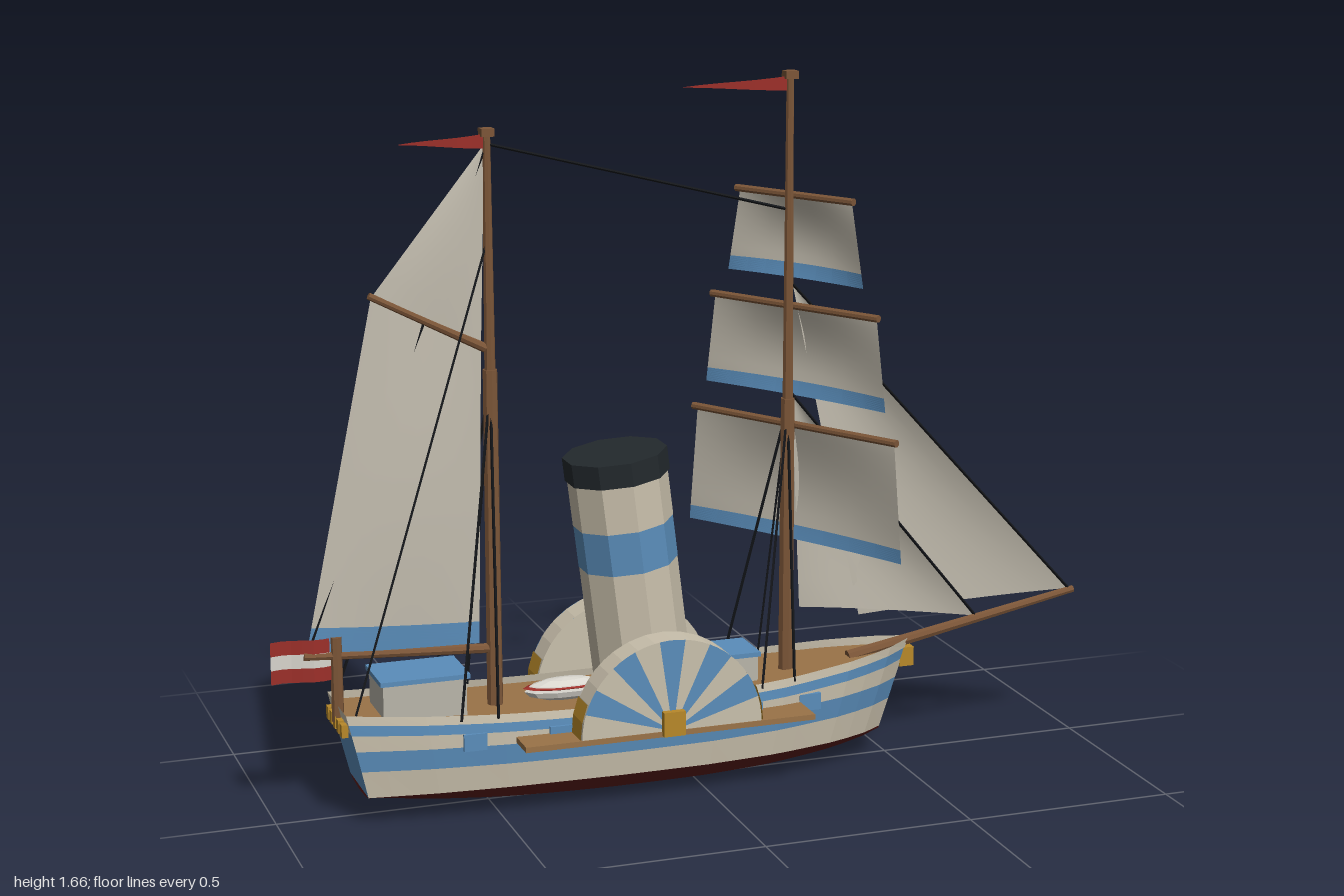
import * as THREE from 'three';

const C = { cream: 0xc9c0ac, blue: 0x5a8dba, deck: 0x9a7348, wood: 0x7c5638, red: 0x5c1c1a, flag: 0x9c302a,
  gold: 0xb8892a, black: 0x23292d, rope: 0x14161a, sail: 0xc2bcae, white: 0xd8d5cd, house: 0xb9b5aa };
const mats = {};
const mat = (key) => mats[key] ??= new THREE.MeshStandardMaterial({ color: C[key], side: THREE.DoubleSide, flatShading: key !== 'sail' });
const V = (x, y, z = 0) => new THREE.Vector3(x, y, z);

export function createModel() {
  const model = new THREE.Group();
  const add = (name, geo, key, parent = model) => {
    const m = new THREE.Mesh(geo, mat(key));
    m.name = name;
    parent.add(m);
    return m;
  };
  const box = (name, key, x0, x1, y0, y1, z0, z1, parent) =>
    add(name, new THREE.BoxGeometry(x1 - x0, y1 - y0, z1 - z0), key, parent)
      .position.set((x0 + x1) / 2, (y0 + y1) / 2, (z0 + z1) / 2);
  // round bar between two points
  const bar = (name, key, a, b, r0, r1 = r0, sides = 8) => {
    const m = add(name, new THREE.CylinderGeometry(r1, r0, a.distanceTo(b), sides), key);
    m.position.copy(a).lerp(b, 0.5);
    m.quaternion.setFromUnitVectors(V(0, 1), b.clone().sub(a).normalize());
  };
  const rope = (a, b) => bar('rigging', 'rope', a, b, 0.0035, 0.0035, 4);
  // surface from f(u, v)
  const sheet = (name, key, nu, nv, f) => {
    const pos = [], idx = [];
    for (let j = 0; j <= nv; j++) for (let i = 0; i <= nu; i++) pos.push(...f(i / nu, j / nv).toArray());
    for (let j = 0; j < nv; j++) for (let i = 0; i < nu; i++) {
      const a = j * (nu + 1) + i, b = a + nu + 1;
      idx.push(a, a + 1, b, a + 1, b + 1, b);
    }
    const g = new THREE.BufferGeometry();
    g.setAttribute('position', new THREE.Float32BufferAttribute(pos, 3));
    g.setIndex(idx);
    g.computeVertexNormals();
    return add(name, g, key);
  };
  // sail spanning four corners (bottom a-b, top c-d) with a belly
  const sail = (name, key, a, b, c, d, belly, v0 = 0, v1 = 1) => sheet(name, key, 8, 8, (u, v) => {
    const w = v0 + (v1 - v0) * v;
    const p = a.clone().lerp(b, u).lerp(c.clone().lerp(d, u), w);
    return p.addScaledVector(belly, 4 * u * (1 - u) * Math.sin(Math.PI * (0.15 + 0.85 * w)));
  });

  // ---- hull: plan width, then levels of [height, width factor, sheer factor]
  const plan = [[0, 0.098], [0.12, 0.122], [0.26, 0.138], [0.46, 0.147], [0.62, 0.146], [0.76, 0.13], [0.88, 0.094], [0.95, 0.058], [1, 0.012]];
  const width = (t) => {
    let i = 1;
    while (i < plan.length - 1 && t > plan[i][0]) i++;
    const [t0, w0] = plan[i - 1], [t1, w1] = plan[i];
    return w0 + (w1 - w0) * (t - t0) / (t1 - t0);
  };
  const levels = [[0, 0, 0], [0.03, 0.66, 0], [0.07, 0.92, 0], [0.128, 0.97, 0.25], [0.175, 1, 0.35], [0.203, 1, 0.75], [0.224, 0.985, 0.9], [0.243, 0.96, 1]];
  const hullPoint = (t, [y, w, sheer], side) => {
    const s = 2 * t - 1, k = (t - 0.45) / 0.55;
    const yy = y < 0.07 ? y + (0.06 - 0.86 * y) * Math.pow(Math.abs(s), 2.6) : y + 0.042 * k * k * sheer;
    const f = Math.max(0, (yy - 0.07) / 0.21);
    return V(THREE.MathUtils.lerp(-0.805 - 0.05 * f, 0.48 + 0.07 * f, t), yy, side * width(t) * w);
  };
  const strakes = ['red', 'red', 'cream', 'blue', 'cream', 'blue', 'cream'];
  const stern = ['red', 'red', 'blue', 'blue', 'blue', 'cream', 'cream'];
  strakes.forEach((key, i) => {
    const span = (t, v, side) => hullPoint(t, levels[i], side).lerp(hullPoint(t, levels[i + 1], side), v);
    for (const side of [-1, 1]) sheet('hullStrake', key, 24, 1, (u, v) => span(u, v, side));
    sheet('transom', stern[i], 1, 1, (u, v) => span(0, v, 2 * u - 1));
    sheet('stem', key, 1, 1, (u, v) => span(1, v, 2 * u - 1));
  });
  sheet('deck', 'deck', 24, 1, (u, v) => hullPoint(u, [0.226, 0.975, 0.9], 2 * v - 1));
  for (let i = -2; i <= 2; i++) box('sternWindow', 'gold', -0.86, -0.845, 0.215, 0.245, i * 0.034 - 0.011, i * 0.034 + 0.011);
  for (const side of [-1, 1]) for (const x of [-0.565, -0.365, -0.2, -0.03, 0.1, 0.255]) {
    const z = side * width((x + 0.84) / 1.365);
    box('gunPort', 'blue', x - 0.027, x + 0.027, 0.17, 0.21, z - 0.006, z + 0.006);
  }
  box('figurehead', 'gold', 0.53, 0.567, 0.215, 0.262, -0.014, 0.014);

  // ---- paddle boxes and side platforms
  for (const turn of [0, Math.PI]) {
    const g = new THREE.Group();
    g.name = 'paddleBox';
    g.position.set(-0.12, 0.192, 0);
    g.rotation.y = turn;
    model.add(g);
    const R = 0.217, n = 11, step = Math.PI / n;
    for (let i = 0; i < n; i++)
      add('fanPanel', new THREE.CircleGeometry(R, 2, i * step, step), i % 2 ? 'blue' : 'cream', g).position.z = 0.215;
    add('innerPanel', new THREE.CircleGeometry(R, 22, 0, Math.PI), 'cream', g).position.z = 0.145;
    const rim = (name, key, r, segs, start, len) => {
      const geo = new THREE.CylinderGeometry(r, r, 0.07, segs, 1, true, start, len);
      add(name, geo.rotateX(-Math.PI / 2), key, g).position.z = 0.18;
    };
    rim('paddleRim', 'cream', R, 16, -Math.PI / 2, Math.PI);
    rim('rimEnd', 'gold', R + 0.004, 2, -Math.PI / 2, Math.PI / 8);
    rim('rimEnd', 'gold', R + 0.004, 2, Math.PI * 3 / 8, Math.PI / 8);
    box('hub', 'gold', -0.026, 0.026, -0.008, 0.05, 0.2, 0.231, g);
    box('platform', 'deck', -0.35, 0.35, -0.012, 0.001, 0.12, 0.217, g);
  }

  // ---- funnel, raked aft
  const funnel = new THREE.Group();
  funnel.name = 'funnel';
  funnel.position.set(-0.115, 0.22, 0);
  funnel.rotation.z = 0.122;
  model.add(funnel);
  [['cream', 0, 0.325, 0.115], ['blue', 0.325, 0.425, 0.116], ['cream', 0.425, 0.535, 0.117], ['black', 0.535, 0.59, 0.122]].forEach(([key, a, b, r]) => {
    add('funnelBand', new THREE.CylinderGeometry(r, r, b - a, 10), key, funnel).position.y = (a + b) / 2;
  });

  // ---- deck fittings
  box('aftCabin', 'house', -0.76, -0.565, 0.22, 0.322, -0.067, 0.067);
  box('aftCabinRoof', 'blue', -0.767, -0.558, 0.322, 0.333, -0.074, 0.074);
  box('foreCabin', 'house', 0.005, 0.148, 0.22, 0.295, -0.055, 0.055);
  box('foreCabinRoof', 'blue', 0, 0.153, 0.295, 0.306, -0.061, 0.061);
  box('bridge', 'house', -0.085, -0.018, 0.33, 0.345, -0.15, 0.15);
  for (const [key, y, s] of [['white', 0.25, 1], ['flag', 0.258, 1.04]]) {
    const boat = add('lifeboat', new THREE.SphereGeometry(1, 10, 6), key);
    boat.position.set(-0.31, y, 0);
    boat.scale.set(0.1 * s, key === 'flag' ? 0.006 : 0.027, 0.036 * s);
  }

  // ---- masts, caps and pennants
  for (const [x, joint, top, len] of [[-0.48, 1.02, 1.555, 0.205], [0.24, 0.9, 1.655, 0.265]]) {
    bar('lowerMast', 'wood', V(x, 0.2), V(x, joint), 0.019, 0.017);
    bar('topMast', 'wood', V(x, joint), V(x, top), 0.013, 0.009);
    box('mastCap', 'wood', x - 0.015, x + 0.015, top - 0.008, top + 0.01, -0.015, 0.015);
    sheet('pennant', 'flag', 6, 1, (u, v) => V(x - len * u, top - 0.019 + (v - 0.5) * 0.034 * (1 - u), 0.008 * Math.sin(u * 6)));
  }

  // ---- fore and aft sails on the mizzen
  bar('gaff', 'wood', V(-0.49, 1.07), V(-0.755, 1.205), 0.011, 0.008);
  bar('boom', 'wood', V(-0.48, 0.365), V(-0.925, 0.39), 0.012, 0.01);
  const foot = [V(-0.918, 0.395), V(-0.515, 0.38)], head = [V(-0.75, 1.2), V(-0.5, 1.07)], belly = V(0, 0, 0.014);
  sail('mizzenSailBand', 'blue', ...foot, ...head, belly, 0, 0.075);
  sail('mizzenSail', 'sail', ...foot, ...head, belly, 0.075, 1);
  sail('topsail', 'sail', ...head, V(-0.485, 1.53), V(-0.485, 1.53), V(0, 0, 0.008));

  // ---- square sails on braced yards
  const along = V(0.5, 0, 0.866), fwd = V(0.866, 0, -0.5);
  for (const [top, bottom, yard, wTop, wBottom] of [[0.83, 0.55, 0.305, 0.295, 0.32], [1.113, 0.9, 0.248, 0.24, 0.268], [1.373, 1.18, 0.173, 0.165, 0.2]]) {
    const at = (y, w, out) => V(0.24, y).addScaledVector(along, w).addScaledVector(fwd, out);
    bar('yard', 'wood', at(top + 0.004, -yard, 0.018), at(top + 0.004, yard, 0.018), 0.009);
    const corners = [at(bottom, -wBottom, 0.022), at(bottom, wBottom, 0.022), at(top, -wTop, 0.022), at(top, wTop, 0.022)];
    const swell = fwd.clone().multiplyScalar(0.028), cut = 0.033 / (top - bottom);
    sail('squareSailBand', 'blue', ...corners, swell, 0, cut);
    sail('squareSail', 'sail', ...corners, swell, cut, 1);
  }

  // ---- bowsprit and jibs
  bar('bowsprit', 'wood', V(0.4, 0.25), V(0.997, 0.362), 0.016, 0.009);
  const jib = (name, tack, clew, peak) => sail(name, 'sail', clew, tack, peak, peak, V(0, 0, -0.03));
  jib('outerJib', V(0.98, 0.365), V(0.45, 0.335, -0.055), V(0.25, 1.17));
  jib('innerJib', V(0.73, 0.32), V(0.295, 0.37, -0.055), V(0.25, 0.91));

  // ---- rigging
  rope(V(-0.48, 1.53), V(0.24, 1.345));
  rope(V(0.25, 1.17), V(0.985, 0.365));
  rope(V(0.25, 0.91), V(0.735, 0.32));
  rope(V(-0.48, 1.53), V(-0.915, 0.395));
  for (const side of [-1, 1]) {
    rope(V(-0.48, 1.32), V(-0.83, 0.27, side * 0.095));
    rope(V(-0.48, 0.98), V(-0.595, 0.24, side * 0.128));
    rope(V(-0.48, 0.98), V(-0.51, 0.24, side * 0.134));
    rope(V(0.24, 0.88), V(0.13, 0.24, side * 0.132));
    rope(V(0.24, 0.88), V(0.215, 0.245, side * 0.122));
  }

  // ---- stern flag
  bar('flagPost', 'wood', V(-0.85, 0.23), V(-0.85, 0.43), 0.014, 0.014);
  ['flag', 'white', 'flag'].forEach((key, i) =>
    sheet('flagStripe', key, 6, 1, (u, v) => V(-0.855 - 0.145 * u, 0.33 + (i + v) * 0.033, 0.008 * Math.sin(u * 6))));
  return model;
}
